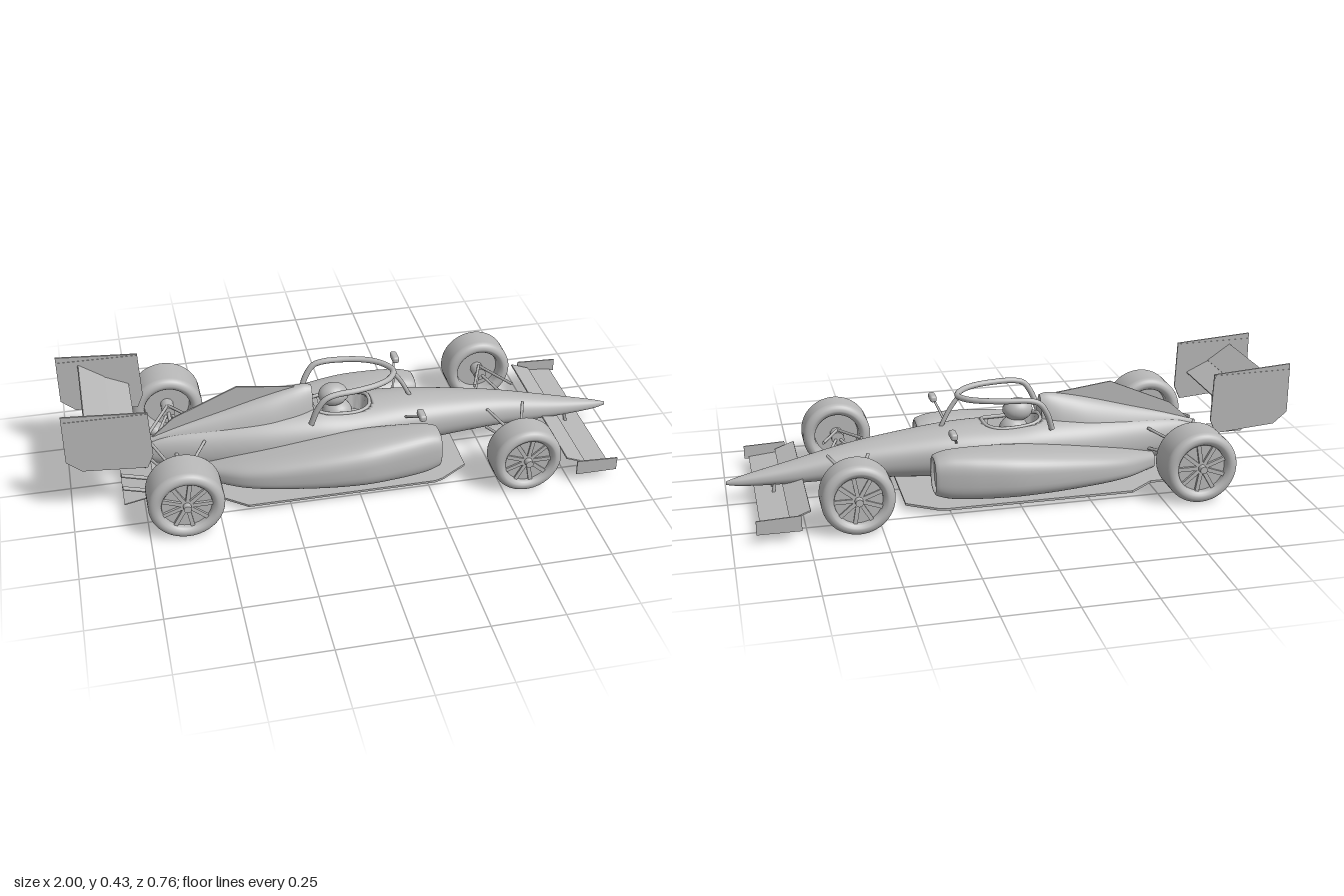
import * as THREE from 'three';
import { RoundedBoxGeometry } from 'three/addons/geometries/RoundedBoxGeometry.js';

const grey = new THREE.MeshStandardMaterial({ color: 0xb8b8b8 });
grey.name = 'bodyGrey';
const V = (x, y, z) => new THREE.Vector3(x, y, z);

// Smooth interpolation of rows [x, a, b, ...] sorted by rising x
function sample(rows, x) {
  let i = 0;
  while (i < rows.length - 2 && x > rows[i + 1][0]) i++;
  const slope = (k, c) => {
    const p = rows[Math.max(k - 1, 0)], n = rows[Math.min(k + 1, rows.length - 1)];
    return (n[c] - p[c]) / (n[0] - p[0]);
  };
  const a = rows[i], b = rows[i + 1], h = b[0] - a[0], t = (x - a[0]) / h;
  return a.map((v, c) => c === 0 ? x :
    v * (2 * t ** 3 - 3 * t * t + 1) + b[c] * (3 * t * t - 2 * t ** 3) +
    h * slope(i, c) * (t ** 3 - 2 * t * t + t) + h * slope(i + 1, c) * (t ** 3 - t * t));
}

// Ring in the plane x, with separate heights above and below the widest line
function ring(x, cz, w, top, mid, bottom, n = 2, seg = 64) {
  return Array.from({ length: seg }, (_, j) => {
    const t = j / seg * Math.PI * 2, c = Math.cos(t), s = Math.sin(t);
    const pow = v => Math.sign(v) * Math.abs(v) ** (2 / n);
    return V(x, mid + pow(s) * (s > 0 ? top - mid : mid - bottom), cz + w * pow(c));
  });
}

// Skin over rings ordered by rising x, with sharp end caps
function loft(rings) {
  const m = rings[0].length, pos = [], idx = [];
  const centre = r => r.map(() => r.reduce((s, p) => s.add(p), V(0, 0, 0)).divideScalar(m));
  const first = rings[0], last = rings[rings.length - 1];
  const groups = [[centre(first), first], rings, [last, centre(last)]];
  for (const g of groups) {
    const base = pos.length / 3;
    g.forEach(r => r.forEach(p => pos.push(p.x, p.y, p.z)));
    for (let i = 0; i < g.length - 1; i++) for (let j = 0; j < m; j++) {
      const k = (j + 1) % m, a = base + i * m + j, b = a + m, c = base + i * m + k, d = c + m;
      idx.push(a, b, c, b, d, c);
    }
  }
  const geo = new THREE.BufferGeometry();
  geo.setAttribute('position', new THREE.Float32BufferAttribute(pos, 3));
  geo.setIndex(idx);
  geo.computeVertexNormals();
  return geo;
}
const range = (a, b, n) => Array.from({ length: n + 1 }, (_, i) => a + (b - a) * i / n);

export function createModel() {
  const car = new THREE.Group();
  car.name = 'racingCar';
  const add = (name, geo, parent = car) => {
    const mesh = new THREE.Mesh(geo, grey);
    mesh.name = name;
    parent.add(mesh);
    return mesh;
  };
  const box = (name, sx, sy, sz, x, y, z, tilt = 0) => {
    const m = add(name, new THREE.BoxGeometry(sx, sy, sz));
    m.position.set(x, y, z);
    m.rotation.z = tilt;
  };
  const rod = (name, a, b, r) => {
    const m = add(name, new THREE.CylinderGeometry(r, r, a.distanceTo(b), 10));
    m.position.copy(a).lerp(b, 0.5);
    m.quaternion.setFromUnitVectors(V(0, 1, 0), b.clone().sub(a).normalize());
  };
  // Flat plate from an outline; upright in xy, or lying in xz
  const plate = (name, pts, depth, y, z, lying = false) => {
    const geo = new THREE.ExtrudeGeometry(new THREE.Shape(pts.map(p => new THREE.Vector2(...p))), { depth, bevelEnabled: false });
    geo.translate(0, 0, -depth / 2);
    if (lying) geo.rotateX(-Math.PI / 2);
    add(name, geo).position.set(0, y, z);
  };

  // Nose and tub: x, half width, top, widest height, bottom
  const hull = [
    [-0.75, 0.012, 0.15, 0.125, 0.1], [-0.65, 0.04, 0.185, 0.12, 0.06], [-0.5, 0.075, 0.21, 0.12, 0.04],
    [-0.3, 0.113, 0.235, 0.13, 0.035], [-0.12, 0.127, 0.245, 0.145, 0.035], [0, 0.126, 0.238, 0.15, 0.035],
    [0.2, 0.112, 0.235, 0.15, 0.045], [0.4, 0.09, 0.215, 0.14, 0.06], [0.58, 0.068, 0.188, 0.125, 0.067],
    [0.8, 0.042, 0.138, 0.1, 0.066], [0.95, 0.018, 0.104, 0.086, 0.07], [1, 0.004, 0.09, 0.083, 0.077]];
  const inCockpit = p => p.y > 0.16 && Math.abs((p.x + 0.02) / 0.105) ** 3 + Math.abs(p.z / 0.066) ** 3 < 1;
  add('bodyShell', loft(range(-0.75, 1, 200).map(x => {
    const [, w, t, m, b] = sample(hull, x), r = ring(x, 0, w, t, m, b, 2.15, 96);
    r.forEach(p => { if (inCockpit(p)) p.y = 0.16; });
    return r;
  })));
  // Padded cockpit rim laid on the shell
  const rim = range(0, Math.PI * 2, 40).slice(0, -1).map(a => {
    const pw = v => Math.sign(v) * Math.abs(v) ** 0.67;
    const x = -0.02 + 0.105 * pw(Math.cos(a)), z = 0.066 * pw(Math.sin(a)), [, w, t, m] = sample(hull, x);
    return V(x, m + (t - m) * Math.sqrt(1 - (z / w) ** 2), z);
  });
  add('cockpitRim', new THREE.TubeGeometry(new THREE.CatmullRomCurve3(rim, true), 80, 0.007, 8, true));

  // Engine cover with rounded intake, and its fin
  const cover = [
    [-0.72, 0.012, 0.175, 0.11], [-0.6, 0.035, 0.213, 0.11], [-0.45, 0.06, 0.255, 0.12], [-0.3, 0.075, 0.297, 0.14],
    [-0.2, 0.068, 0.32, 0.15], [-0.15, 0.056, 0.326, 0.16], [-0.125, 0.045, 0.32, 0.17]];
  add('engineCover', loft(range(-0.72, -0.125, 50).map(x => {
    const [, w, t, m] = sample(cover, x);
    return ring(x, 0, w, t, m, 0.1, 2);
  })));
  plate('engineFin', [[-0.15, 0.318], [-0.39, 0.35], [-0.62, 0.25], [-0.71, 0.17], [-0.3, 0.2]], 0.006, 0, 0);

  // Driver
  const helmet = add('helmet', new THREE.SphereGeometry(0.044, 28, 20));
  helmet.scale.set(1.22, 0.95, 1);
  helmet.position.set(-0.045, 0.271, 0);
  const visor = add('visor', new THREE.SphereGeometry(0.0455, 24, 8, Math.PI * 0.62, Math.PI * 0.76, 1.2, 0.6));
  visor.position.copy(helmet.position);
  visor.scale.copy(helmet.scale);
  add('driverShoulders', new THREE.SphereGeometry(0.055, 20, 12)).position.set(-0.03, 0.19, 0);

  // Head protection hoop and its pillar
  const half = [[-0.145, 0.225, 0.104], [-0.125, 0.285, 0.111], [-0.095, 0.328, 0.115], [-0.06, 0.34, 0.113], [0.02, 0.343, 0.106], [0.1, 0.343, 0.084], [0.15, 0.341, 0.05]];
  const hoop = [...half.map(p => V(...p)), V(0.175, 0.34, 0), ...half.map(p => V(p[0], p[1], -p[2])).reverse()];
  add('haloHoop', new THREE.TubeGeometry(new THREE.CatmullRomCurve3(hoop), 90, 0.0105, 12));
  const pillar = new THREE.CatmullRomCurve3([V(0.17, 0.339, 0), V(0.205, 0.29, 0), V(0.24, 0.222, 0)]);
  add('haloPillar', new THREE.TubeGeometry(pillar, 16, 0.008, 10));

  // Floor, plank and diffuser
  const edge = [[0.4, 0.19], [0.3, 0.255], [0.27, 0.265], [-0.4, 0.265], [-0.49, 0.195], [-0.73, 0.195]];
  plate('floor', [...edge, ...edge.map(p => [p[0], -p[1]]).reverse()].reverse(), 0.008, 0.024, 0, true);
  box('skidPlank', 0.83, 0.008, 0.11, -0.115, 0.015, 0);
  box('diffuserPlate', 0.115, 0.004, 0.33, -0.765, 0.035, 0, 0.2);
  for (const z of [-0.15, -0.075, 0, 0.075, 0.15]) box('diffuserSlat', 0.095, 0.004, 0.02, -0.775, 0.071, z, -0.27);
  box('rearCrashStructure', 0.17, 0.024, 0.035, -0.82, 0.131, 0);

  // Rear wing planes
  box('rearWingMain', 0.095, 0.007, 0.376, -0.799, 0.311, 0, -0.44);
  box('rearWingFlap', 0.104, 0.006, 0.376, -0.882, 0.362, 0, -0.6);

  // Front wing planes
  box('frontWingMain', 0.108, 0.007, 0.676, 0.85, 0.042, 0, -0.1);
  box('frontWingFlap', 0.075, 0.005, 0.64, 0.772, 0.079, 0, -0.36);

  // Sidepods: x, inner z, outer z, top, bottom
  const pod = [
    [-0.54, 0.03, 0.095, 0.085, 0.03], [-0.4, 0.04, 0.195, 0.125, 0.03], [-0.2, 0.06, 0.255, 0.165, 0.03],
    [0, 0.08, 0.282, 0.194, 0.03], [0.15, 0.1, 0.272, 0.204, 0.033], [0.25, 0.115, 0.255, 0.203, 0.04], [0.285, 0.123, 0.246, 0.195, 0.05]];
  const hubs = [
    { name: 'front', x: 0.58, z: 0.3025, r: 0.1245, w: 0.118, out: 0.37, inner: [[0.51, 0.08], [0.65, 0.062]] },
    { name: 'rear', x: -0.62, z: 0.2975, r: 0.13, w: 0.146, out: 0.378, inner: [[-0.52, 0.062], [-0.71, 0.022]] }];

  for (const s of [1, -1]) {
    const side = s > 0 ? 'left' : 'right';
    const podRing = (x, k = 1, at = x) => {
      const [, i, o, t, b] = sample(pod, x), m = (t + b) / 2;
      return ring(at, s * (i + o) / 2, k * (o - i) / 2, m + k * (t - m), m, m - k * (m - b), 2.9, 48);
    };
    const lip = [podRing(0.285, 0.94, 0.296), podRing(0.285, 0.86, 0.3), podRing(0.285, 0.8, 0.298), podRing(0.285, 0.77, 0.288)];
    add(side + 'Sidepod', loft([...range(-0.54, 0.285, 44).map(x => podRing(x)), ...lip]));

    // Mirrors on angled stalks
    add(side + 'Mirror', new RoundedBoxGeometry(0.025, 0.025, 0.056, 4, 0.009)).position.set(0.23, 0.269, s * 0.197);
    rod(side + 'MirrorStalk', V(0.225, 0.259, s * 0.19), V(0.2, 0.2, s * 0.095), 0.0045);

    // Wing endplates and mounts
    plate(side + 'RearEndplate', [[-1, 0.25], [-0.95, 0.208], [-0.73, 0.19], [-0.708, 0.24], [-0.715, 0.412], [-1, 0.432]], 0.006, 0, s * 0.19);
    box(side + 'RearEndplateRail', 0.28, 0.01, 0.009, -0.857, 0.405, s * 0.19, -0.01);
    plate(side + 'FrontEndplate', [[0.77, 0.033], [0.92, 0.033], [0.92, 0.082], [0.77, 0.088]], 0.005, 0, s * 0.34);
    rod(side + 'RearWingMount', V(-0.82, 0.13, s * 0.02), V(-0.79, 0.305, s * 0.02), 0.006);
    rod(side + 'FrontWingMount', V(0.84, 0.045, s * 0.025), V(0.83, 0.095, s * 0.02), 0.006);

    for (const h of hubs) {
      // Wheel, built with its outer face along +y then turned outwards
      const wheel = new THREE.Group();
      wheel.name = side + h.name[0].toUpperCase() + h.name.slice(1) + 'Wheel';
      wheel.position.set(h.x, h.r, s * h.z);
      wheel.rotation.x = s * Math.PI / 2;
      car.add(wheel);
      const e = h.w / 2, r = h.r, q = r * 0.7;
      // Tyre shoulder as a quarter round
      const shoulder = range(0, Math.PI / 2, 6).map(a => [r - 0.024 + 0.024 * Math.sin(a), e - 0.024 + 0.024 * Math.cos(a)]);
      const wall = [[q - 0.008, 0.015], [q - 0.005, e - 0.014], [q, e - 0.007], [q + 0.008, e - 0.001], ...shoulder];
      const tyre = [...wall.map(([a, b]) => [a, -b]), ...[...wall].reverse(), [q - 0.008, -0.015]];
      add('tyre', new THREE.LatheGeometry(tyre.map(p => new THREE.Vector2(...p)), 56), wheel);
      add('brakeDisc', new THREE.CylinderGeometry(q - 0.006, q - 0.006, e, 40), wheel).position.y = e / 4 - 0.004;
      add('hubNut', new THREE.CylinderGeometry(0.013, 0.017, h.out - h.z, 20), wheel).position.y = (h.out - h.z) / 2;
      for (let i = 0; i < 9; i++) {
        const a = i / 9 * Math.PI * 2;
        const spoke = add('spoke', new THREE.BoxGeometry(q - 0.012, 0.016, 0.014), wheel);
        spoke.position.set(Math.cos(a) * (q / 2 + 0.004), e - 0.021, Math.sin(a) * (q / 2 + 0.004));
        spoke.rotation.y = -a;
      }

      // Upright, axle and wishbones
      const zi = h.z - e;
      rod(h.name + 'Upright', V(h.x, h.r, s * (zi - 0.015)), V(h.x, h.r, s * h.z), 0.024);
      for (const [x, z] of h.inner) {
        rod(h.name + 'UpperWishbone', V(x, 0.178, s * z), V(h.x, 0.15, s * (zi + 0.01)), 0.0055);
        rod(h.name + 'LowerWishbone', V(x, 0.1, s * z), V(h.x, 0.122, s * (zi + 0.01)), 0.0055);
      }
      if (h.name === 'rear') rod('driveShaft', V(h.x, 0.125, s * 0.03), V(h.x, 0.13, s * zi), 0.007);
    }
  }
  return car;
}
